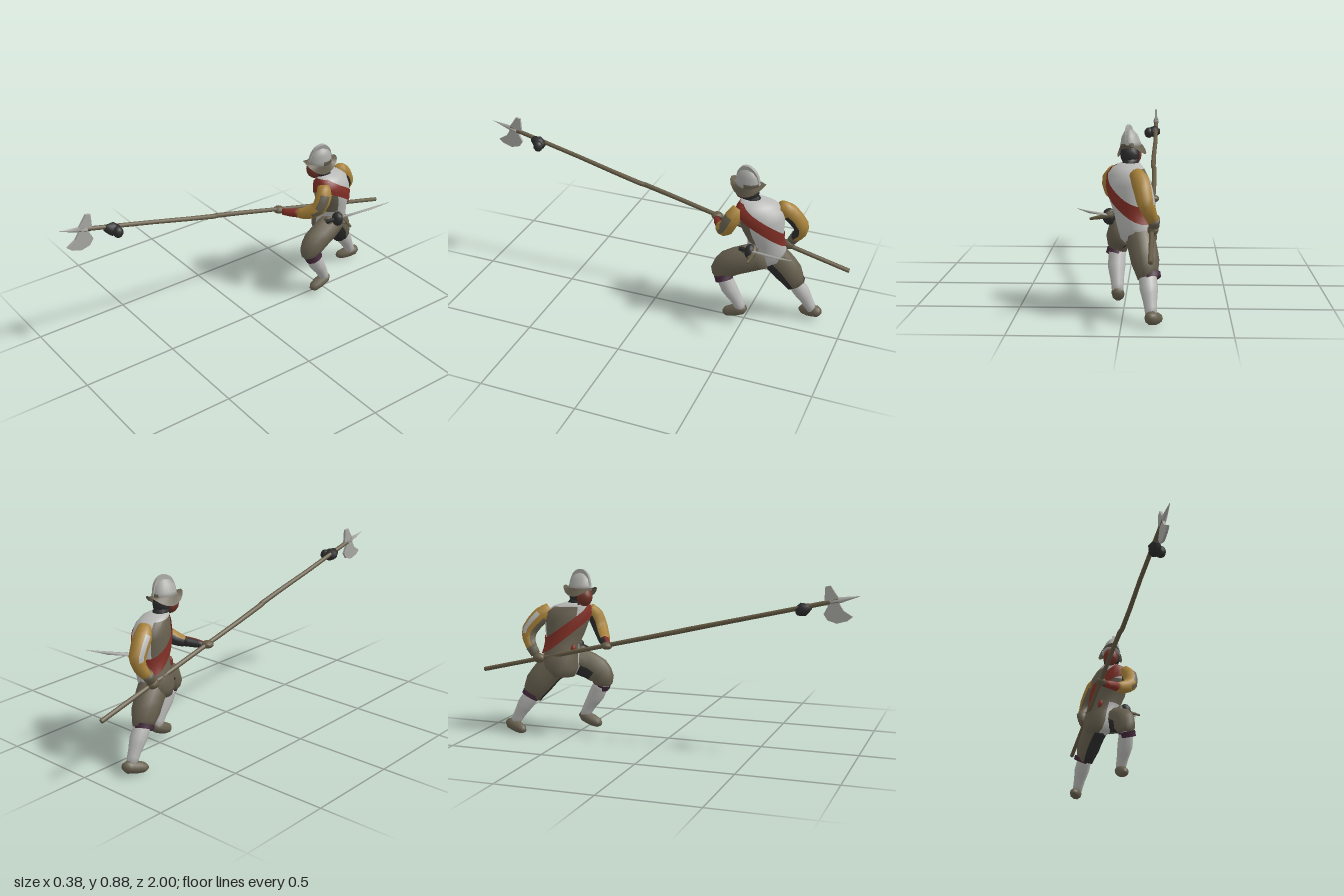
import * as THREE from 'three';

const mat = (name, color) => new THREE.MeshStandardMaterial({ name, color });
const V = (x, y, z) => new THREE.Vector3(x, y, z);

export function createModel() {
  const white = mat('white cloth', 0xb9b9b7), olive = mat('olive cloth', 0x686150);
  const red = mat('red sash', 0x823026), yellow = mat('yellow sleeve', 0xa8823a);
  const black = mat('black', 0x2d2d2e), plum = mat('plum garter', 0x43293a);
  const skin = mat('skin', 0x703428), steel = mat('steel', 0xa9a9a5);
  const wood = mat('wood', 0x655b45);
  for (const m of [plum, red, olive]) m.side = THREE.DoubleSide;

  const model = new THREE.Group();
  const add = (name, geo, material, parent = model) => {
    const m = new THREE.Mesh(geo, material);
    m.name = name;
    parent.add(m);
    return m;
  };

  // Skin a list of equal rings; pick(i, j) selects a material for each quad
  function loft(name, rings, mats, pick = () => 0, caps = true, parent = model) {
    const n = rings[0].length, pos = [], faces = [].concat(mats).map(() => []);
    rings.forEach(r => r.forEach(p => pos.push(p.x, p.y, p.z)));
    for (let i = 0; i < rings.length - 1; i++) for (let j = 0; j < n; j++) {
      const k = (j + 1) % n, a = i * n + j, b = i * n + k;
      faces[pick(i, j)].push(a, a + n, b, b, a + n, b + n);
    }
    if (caps) [0, rings.length - 1].forEach(i => {
      const c = rings[i].reduce((s, p) => s.add(p), V(0, 0, 0)).divideScalar(n);
      const ci = pos.length / 3;
      pos.push(c.x, c.y, c.z);
      for (let j = 0; j < n; j++) {
        const a = i * n + j, b = i * n + (j + 1) % n;
        faces[pick(Math.min(i, rings.length - 2), j)].push(ci, ...(i ? [b, a] : [a, b]));
      }
    });
    const g = new THREE.BufferGeometry();
    g.setAttribute('position', new THREE.Float32BufferAttribute(pos, 3));
    g.setIndex(faces.flat());
    let start = 0;
    faces.forEach((f, i) => { g.addGroup(start, f.length, i); start += f.length; });
    g.computeVertexNormals();
    return add(name, g, mats, parent);
  }

  // Tapered tube through [x, y, z, radius] points; ref sets where the ring starts
  function limb(name, pts, mats, o = {}) {
    const { sides = 10, ref = V(1, 0, 0), sx = 1, sub = 2, pick, caps = true } = o;
    const curve = new THREE.CatmullRomCurve3(pts.map(p => V(p[0], p[1], p[2])));
    const steps = (pts.length - 1) * sub, rings = [];
    for (let i = 0; i <= steps; i++) {
      const s = i / steps, c = curve.getPoint(s), T = curve.getTangent(s);
      const k = Math.min(Math.floor(i / sub), pts.length - 2);
      const r = THREE.MathUtils.lerp(pts[k][3], pts[k + 1][3], i / sub - k);
      const u = ref.clone().addScaledVector(T, -ref.dot(T)).normalize();
      const v = u.clone().cross(T).normalize();
      rings.push(Array.from({ length: sides }, (_, j) => {
        const t = j / sides * Math.PI * 2;
        return c.clone().addScaledVector(u, r * sx * Math.cos(t)).addScaledVector(v, r * Math.sin(t));
      }));
    }
    return loft(name, rings, mats, pick, caps);
  }
  const ball = (name, p, s, m, yaw = 0) => {
    const b = add(name, new THREE.SphereGeometry(1, 12, 8), m);
    b.position.set(...p); b.scale.set(...s); b.rotation.y = yaw;
    return b;
  };

  // Twisted torso: rows of height, centre x, centre z, half width, half depth
  const rows = [
    [0.315, -0.08, -0.565, 0.065, 0.056], [0.36, -0.07, -0.58, 0.1, 0.085],
    [0.42, -0.06, -0.585, 0.1, 0.088], [0.48, -0.042, -0.58, 0.09, 0.083],
    [0.54, -0.028, -0.57, 0.105, 0.09], [0.61, -0.022, -0.56, 0.12, 0.092],
    [0.655, -0.02, -0.55, 0.122, 0.082], [0.685, -0.022, -0.535, 0.095, 0.065],
    [0.705, -0.03, -0.51, 0.05, 0.045]];
  const left = V(0.52, 0, 0.85), front = V(-0.85, 0, 0.52), N = 24;
  const bodyPoint = (y, t, grow = 0) => {
    let i = 0;
    while (i < rows.length - 2 && y > rows[i + 1][0]) i++;
    const f = (y - rows[i][0]) / (rows[i + 1][0] - rows[i][0]);
    const [, x, z, w, d] = rows[i].map((a, k) => THREE.MathUtils.lerp(a, rows[i + 1][k], f));
    return V(x, y, z).addScaledVector(left, (w + grow) * Math.cos(t)).addScaledVector(front, (d + grow) * Math.sin(t));
  };
  const band = fn => Array.from({ length: N }, (_, j) => fn(j / N * Math.PI * 2));
  // Olive front and left flank, white back and upper chest
  loft('coat', rows.map(r => band(t => bodyPoint(r[0], t))), [white, olive], (i, j) => {
    const chest = j >= (i > 4 ? 5 : 2) && j < 11 && i < 7;
    const flank = (j > 20 || j < 2) && i > 2 && i < 5;
    return chest || flank ? 1 : 0;
  });
  // Sash from the left shoulder to the right hip, with a hanging end
  loft('sash', [-0.041, -0.014, 0.014, 0.041].map(h =>
    band(t => bodyPoint(Math.min(0.573 + 0.096 * Math.cos(t) + h, 0.695), t, 0.006))), red, undefined, false);
  limb('sashEnd', [0.485, 0.465, 0.443].map((y, i) => [...bodyPoint(y, 1.05, 0.003), [0.008, 0.014, 0.005][i]]),
    red, { sides: 6 });

  // Arms: striped sleeves with dark undersides
  const armRef = V(0.4, 0.6, 0.9);
  limb('leftSleeve', [[0.035, 0.665, -0.455, 0.032], [0.062, 0.625, -0.435, 0.043], [0.06, 0.56, -0.405, 0.04],
    [0.005, 0.518, -0.365, 0.034], [-0.035, 0.507, -0.345, 0.026]], [yellow, olive, black],
    { ref: armRef, pick: (i, j) => (j > 3 && j < 7 && i > 0 ? 2 : j < 2 && i > 1 - j && i > 0 && i < 4 + j && i > 1 ? 1 : 0) });
  limb('leftCuff', [[-0.025, 0.51, -0.35, 0.026], [-0.07, 0.503, -0.32, 0.023], [-0.11, 0.497, -0.3, 0.018]],
    [red, black], { ref: armRef, pick: (i, j) => (j > 3 && j < 8 ? 1 : 0) });
  ball('leftHand', [-0.135, 0.502, -0.29], [0.03, 0.02, 0.03], wood);
  limb('rightSleeve', [[-0.06, 0.67, -0.64, 0.032], [-0.085, 0.635, -0.68, 0.045], [-0.107, 0.56, -0.738, 0.042],
    [-0.122, 0.51, -0.738, 0.034], [-0.145, 0.46, -0.705, 0.026]], [yellow, olive, white, black],
    { pick: (i, j) => (i < 2 ? 0 : j === 4 && i < 5 ? 2 : j === 6 || j === 7 ? 1 : j > 7 ? 3 : 0) });
  limb('rightCuff', [[-0.143, 0.475, -0.715, 0.03], [-0.146, 0.435, -0.69, 0.025]], olive);
  ball('rightHand', [-0.14, 0.415, -0.675], [0.026, 0.026, 0.034], wood);

  // Legs: breeches with dark inner panels, garters, stockings, shoes
  limb('leftBreeches', [[-0.02, 0.4, -0.585, 0.075], [0.015, 0.375, -0.5, 0.073], [0.028, 0.335, -0.415, 0.072],
    [0.03, 0.29, -0.385, 0.064], [0.032, 0.258, -0.388, 0.047]], [olive, black],
    { sx: 0.83, pick: (i, j) => (j > 2 && j < 5 && i < 4 ? 1 : 0) });
  limb('rightBreeches', [[-0.07, 0.39, -0.59, 0.08], [-0.09, 0.335, -0.645, 0.077], [-0.106, 0.27, -0.695, 0.074],
    [-0.118, 0.2, -0.73, 0.052]], [olive, black], { sx: 0.88, pick: (i, j) => (j > 6 ? 1 : 0) });
  limb('leftGarter', [[0.038, 0.27, -0.388, 0.047], [0.046, 0.242, -0.4, 0.047]], plum, { sub: 1, caps: false });
  limb('rightGarter', [[-0.128, 0.22, -0.726, 0.049], [-0.134, 0.2, -0.737, 0.046]], plum, { sub: 1, caps: false });
  limb('leftStocking', [[0.034, 0.28, -0.385, 0.04], [0.038, 0.195, -0.425, 0.043], [0.034, 0.14, -0.46, 0.033],
    [0.03, 0.08, -0.49, 0.027]], white);
  limb('rightStocking', [[-0.115, 0.23, -0.715, 0.04], [-0.124, 0.16, -0.765, 0.042], [-0.13, 0.11, -0.795, 0.032],
    [-0.136, 0.055, -0.825, 0.026]], white);
  limb('leftShoe', [[0.03, 0.09, -0.515, 0.016], [0.03, 0.078, -0.493, 0.031], [0.03, 0.056, -0.445, 0.031],
    [0.031, 0.043, -0.41, 0.025], [0.031, 0.037, -0.395, 0.01]], olive);
  limb('rightShoe', [[-0.13, 0.054, -0.872, 0.016], [-0.136, 0.047, -0.85, 0.032], [-0.15, 0.034, -0.805, 0.031],
    [-0.165, 0.025, -0.768, 0.024], [-0.17, 0.021, -0.752, 0.01]], olive);

  // Head
  limb('neck', [[-0.03, 0.68, -0.515, 0.042], [-0.033, 0.74, -0.48, 0.036]], black);
  ball('hair', [-0.028, 0.742, -0.487], [0.046, 0.054, 0.054], black);
  ball('face', [-0.041, 0.737, -0.453], [0.042, 0.05, 0.045], skin, -0.25);

  // Helmet: pointed dome, upturned brim and tall crest
  const helmet = new THREE.Group();
  helmet.name = 'helmet';
  helmet.position.set(-0.035, 0.755, -0.48);
  helmet.rotation.set(0, -0.2, -0.12);
  model.add(helmet);
  const oval = (rx, rz, y, lift) => Array.from({ length: 20 }, (_, j) => {
    const t = j / 20 * Math.PI * 2;
    return V(rx * Math.cos(t), y + lift * Math.sin(t) ** 2, rz * Math.sin(t));
  });
  loft('dome', [oval(0.053, 0.066, 0.012, 0.008), oval(0.046, 0.064, 0.042, 0), oval(0.037, 0.054, 0.074, 0),
    oval(0.022, 0.034, 0.096, 0), oval(0.005, 0.008, 0.106, 0)], [steel, olive],
    (i, j) => (i === 0 && j > 12 ? 1 : 0), true, helmet);
  loft('brim', [oval(0.067, 0.096, -0.02, 0.058), oval(0.053, 0.066, 0.024, 0.004)], olive, undefined, false, helmet);
  const crestShape = new THREE.Shape();
  crestShape.moveTo(-0.066, 0.03);
  crestShape.quadraticCurveTo(-0.06, 0.122, 0, 0.126);
  crestShape.quadraticCurveTo(0.06, 0.122, 0.066, 0.03);
  const plate = (shape, depth) => new THREE.ExtrudeGeometry(shape, { depth, bevelEnabled: false, curveSegments: 6 })
    .translate(0, 0, -depth / 2).rotateY(-Math.PI / 2);
  add('crest', plate(crestShape, 0.016), steel, helmet);

  // Polearm: shaft, axe head with spike, dark tassel
  const X = -0.135, shaftY = z => 0.575 + 0.243 * z;
  limb('shaft', [-1, -0.3, 0.11, 0.14, 0.5, 0.9].map((z, i) =>
    [X + (i === 3 ? 0.006 : 0), shaftY(z), z, i === 2 || i === 3 ? 0.013 : 0.0115]), wood, { sides: 8 });
  limb('spike', [[X, shaftY(0.86), 0.86, 0.016], [X, shaftY(0.91), 0.91, 0.014], [X, shaftY(1), 1, 0.001]], steel, { sides: 4, sub: 1 });
  const axe = new THREE.Shape([[0.905, 0.80], [0.885, 0.825], [0.86, 0.862], [0.835, 0.857], [0.832, 0.785], [0.85, 0.765],
    [0.83, 0.725], [0.85, 0.695], [0.895, 0.682], [0.945, 0.697], [0.97, 0.718], [0.925, 0.745], [0.905, 0.775]]
    .map(p => new THREE.Vector2(...p)));
  add('axeHead', plate(axe, 0.012), steel).position.x = X;
  limb('tassel', [[X + 0.005, 0.757, 0.765, 0.016], [X + 0.008, 0.742, 0.73, 0.035], [X + 0.01, 0.73, 0.695, 0.022]], black, { sides: 7 });
  ball('tasselKnot', [X + 0.04, 0.735, 0.715], [0.026, 0.03, 0.026], black);

  // Sword and dagger at the hip, with pouch
  limb('swordBlade', [[0.07, 0.46, -0.53, 0.006], [0.15, 0.5, -0.695, 0.006], [0.195, 0.53, -0.785, 0.001]], steel,
    { sides: 4, sx: 2.4, sub: 1, ref: V(0.9, 0.3, 0.43) });
  limb('swordGrip', [[0.07, 0.46, -0.53, 0.01], [0.045, 0.445, -0.475, 0.012]], black, { sides: 6 });
  limb('swordGuard', [[0.05, 0.485, -0.55, 0.007], [0.085, 0.463, -0.56, 0.009], [0.115, 0.445, -0.54, 0.007]], olive, { sides: 6, ref: V(0, 0, 1) });
  limb('dagger', [[0.05, 0.465, -0.56, 0.014], [0.11, 0.453, -0.555, 0.01], [0.158, 0.443, -0.55, 0.006]], wood, { sides: 6, ref: V(0, 1, 0) });
  ball('pouch', [0.066, 0.453, -0.535], [0.034, 0.04, 0.028], black);
  ball('purse', [0.03, 0.435, -0.5], [0.026, 0.028, 0.024], olive);
  return model;
}
